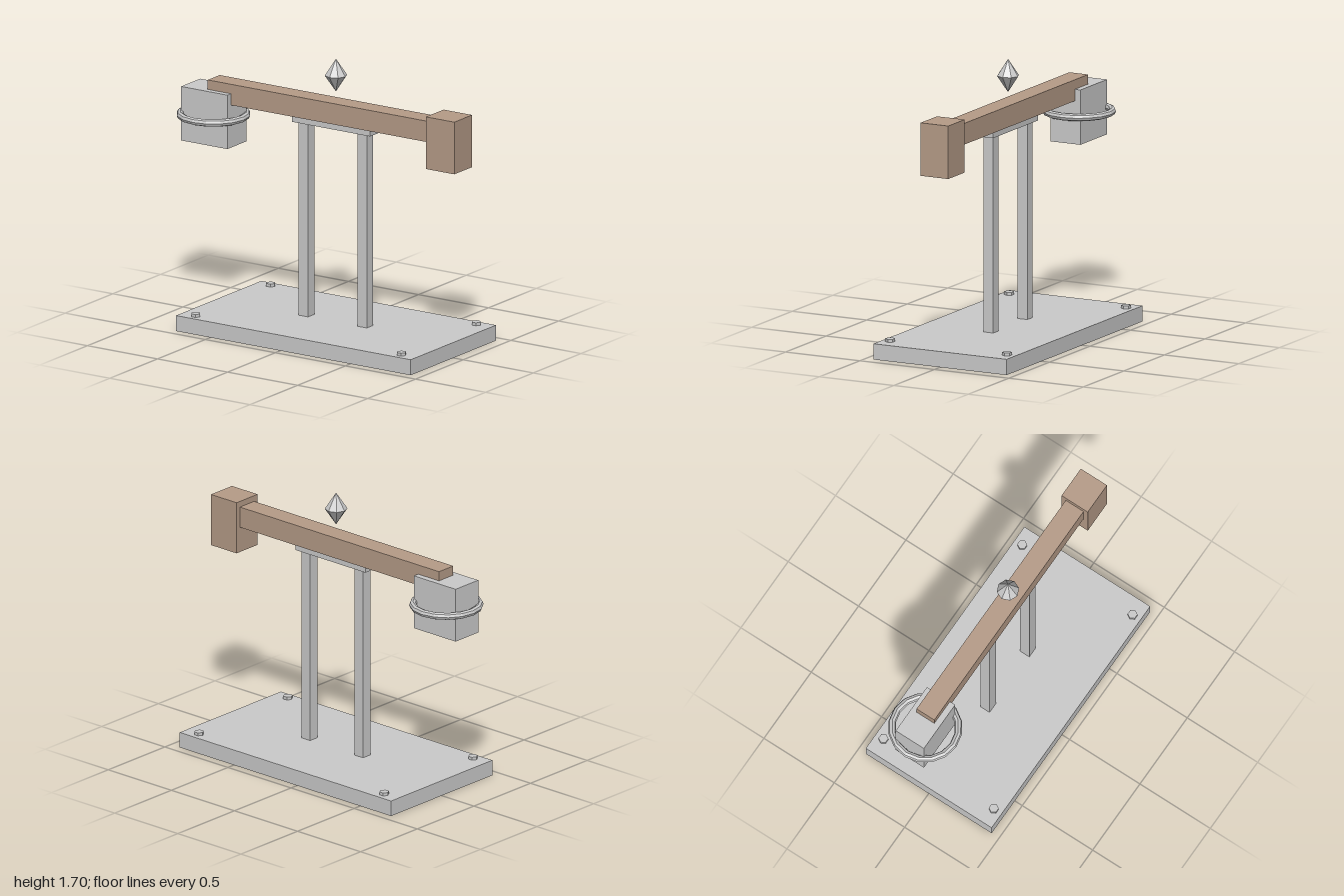
import * as THREE from 'three';

export function createModel() {
  const model = new THREE.Group();
  const metal = new THREE.MeshStandardMaterial({ color: 0xcccccc, flatShading: true });
  const wood = new THREE.MeshStandardMaterial({ color: 0xb69c88, flatShading: true });

  const add = (name, geometry, material, x, y, z = 0) => {
    const mesh = new THREE.Mesh(geometry, material);
    mesh.name = name;
    mesh.position.set(x, y, z);
    model.add(mesh);
    return mesh;
  };
  // Box given by its x range, y range and depth, centred on z = 0
  const box = (name, material, x0, x1, y0, y1, depth) =>
    add(name, new THREE.BoxGeometry(x1 - x0, y1 - y0, depth), material, (x0 + x1) / 2, (y0 + y1) / 2);

  // Base plate with a hexagonal bolt in each corner
  box('base', metal, -0.745, 0.93, 0, 0.095, 0.894);
  const boltGeometry = new THREE.CylinderGeometry(0.029, 0.029, 0.03, 6).rotateY(Math.PI / 2);
  for (const x of [-0.641, 0.826])
    for (const z of [-0.392, 0.392]) add('bolt', boltGeometry, metal, x, 0.098, z);

  // Two posts and the plate that joins them
  for (const x of [-0.118, 0.302]) box('post', metal, x - 0.033, x + 0.033, 0.09, 1.285, 0.066);
  box('supportPlate', metal, -0.186, 0.37, 1.28, 1.317, 0.1);

  // Beam with its wooden end block
  box('beam', wood, -0.78, 0.8, 1.316, 1.444, 0.126);
  box('endBlock', wood, 0.797, 1, 1.16, 1.48, 0.186);

  // Counterweight and the ring around it
  box('counterweight', metal, -0.945, -0.615, 1.055, 1.386, 0.2);
  add('ring', new THREE.TorusGeometry(0.198, 0.022, 8, 16).rotateX(Math.PI / 2), metal, -0.782, 1.22);

  // Eight-sided double cone floating above the beam
  const outline = [[0, -0.1], [0.067, 0], [0, 0.1]].map(([r, y]) => new THREE.Vector2(r, y));
  add('floatingMarker', new THREE.LatheGeometry(outline, 8), metal, 0.092, 1.6);

  return model;
}
